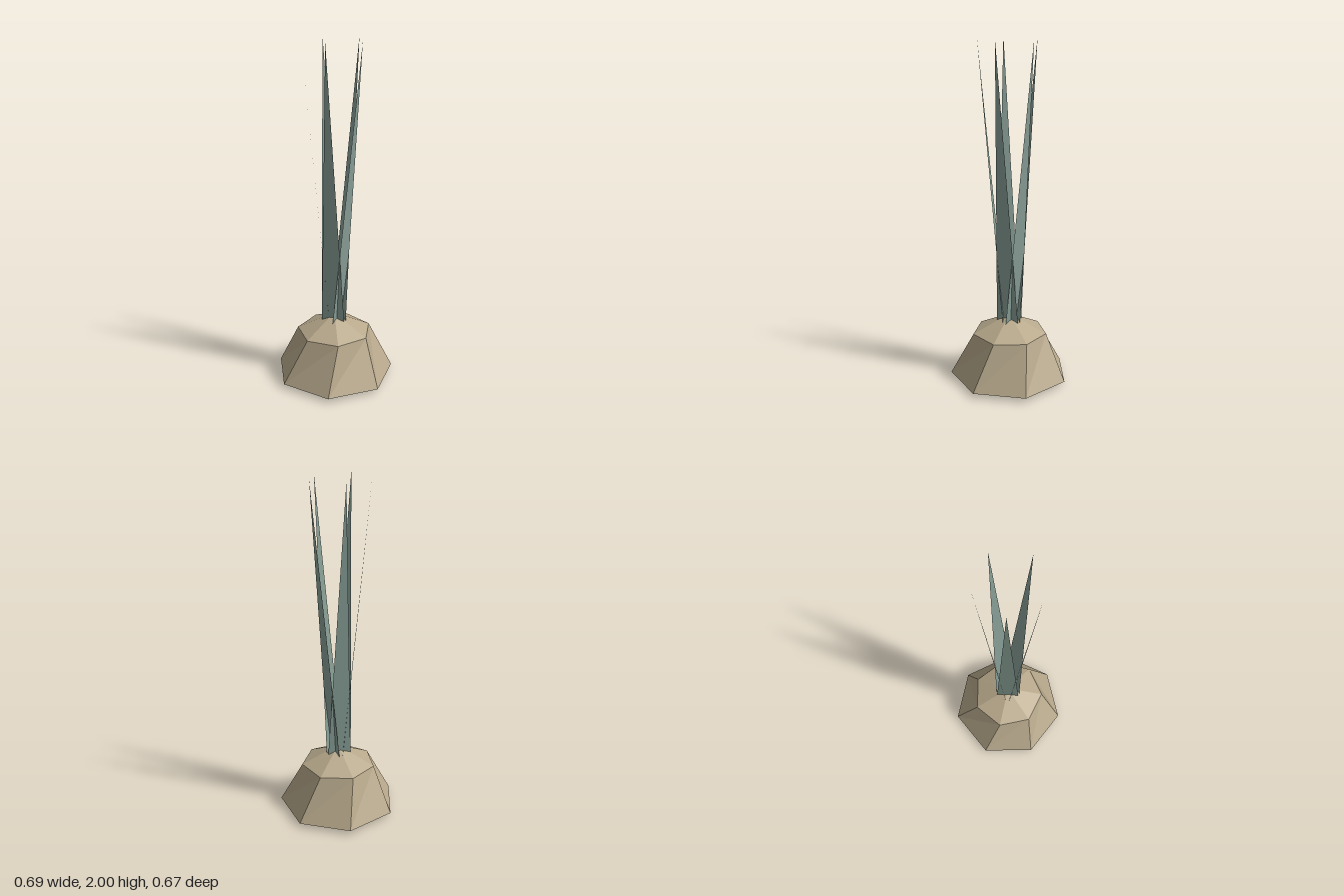
import * as THREE from 'three';

const SIDES = 7, BLADES = 5;

// Point on a circle around the plant's axis
const ring = (radius, angle, y) => [radius * Math.cos(angle), y, radius * Math.sin(angle)];

function facetedMesh(name, triangles, color) {
  const geometry = new THREE.BufferGeometry();
  geometry.setAttribute('position', new THREE.Float32BufferAttribute(triangles.flat(2), 3));
  geometry.computeVertexNormals();
  const material = new THREE.MeshStandardMaterial({ color, flatShading: true, side: THREE.DoubleSide });
  const mesh = new THREE.Mesh(geometry, material);
  mesh.name = name;
  return mesh;
}

// Open seven-sided bulb: twisted skirt below a shallow pointed cap
function createBulb() {
  const step = (Math.PI * 2) / SIDES, twist = 0.2;
  const upper = i => ring(0.22, i * step, 0.29);
  const lower = i => ring(0.352, i * step + twist, 0.025);
  const apex = [0, 0.4, 0];
  const triangles = [];
  for (let i = 0; i < SIDES; i++) {
    triangles.push([apex, upper(i + 1), upper(i)]);
    triangles.push([upper(i), upper(i + 1), lower(i + 1)]);
    triangles.push([upper(i), lower(i + 1), lower(i)]);
  }
  return facetedMesh('bulb', triangles, 0xb8a98c);
}

// Flat pointed leaf, leaning outward from the axis
function createLeaf(index) {
  const halfWidth = 0.083;
  const leaf = facetedMesh('leaf', [[[0, 0, halfWidth], [0, 0, -halfWidth], [0.177, 2, 0]]], 0x8aa198);
  leaf.rotation.y = (index * Math.PI * 2) / BLADES;
  return leaf;
}

export function createModel() {
  const model = new THREE.Group();
  model.name = 'sproutingBulb';

  const leaves = new THREE.Group();
  leaves.name = 'leaves';
  for (let i = 0; i < BLADES; i++) leaves.add(createLeaf(i));

  const plant = new THREE.Group();
  plant.name = 'plant';
  plant.position.set(-0.003, 0, 0.014);
  plant.add(createBulb(), leaves);
  model.add(plant);
  return model;
}
